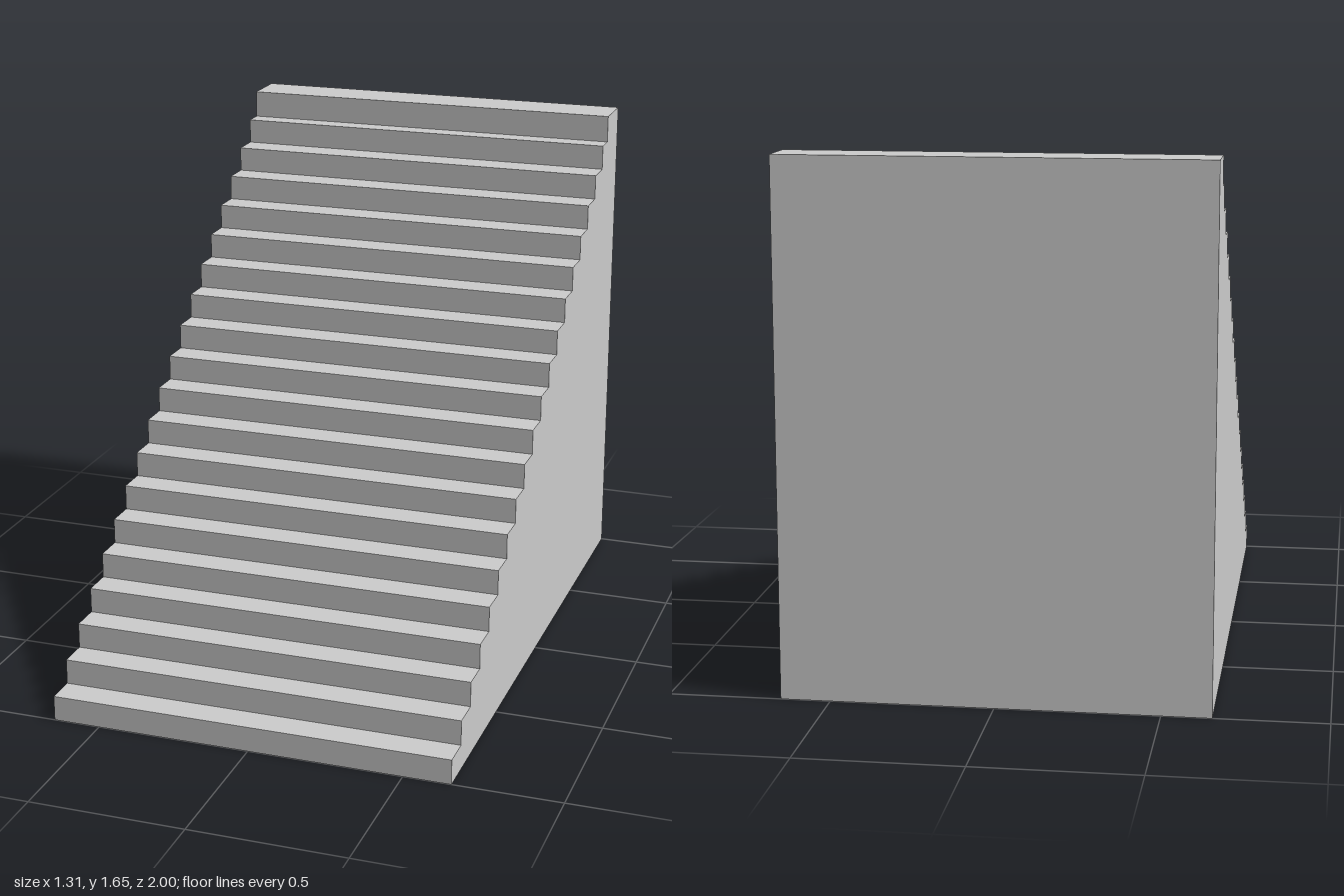
import * as THREE from 'three';

const WIDTH = 1.306;
const STEPS = 19;        // regular steps below the landing
const RISE = 0.082;
const TREAD = 0.0986;
const LANDING_Z = -0.842;
const HEIGHT = 1.648;

export function createModel() {
  const group = new THREE.Group();
  group.name = 'staircase';

  // Side profile: shape x is the model's z
  const profile = new THREE.Shape();
  profile.moveTo(-1, 0);
  profile.lineTo(1, 0);
  for (let i = 0; i < STEPS; i++) {
    const y = (i + 1) * RISE;
    profile.lineTo(1 - i * TREAD, y);
    // The last tread is cut short by the landing
    profile.lineTo(i < STEPS - 1 ? 1 - (i + 1) * TREAD : LANDING_Z, y);
  }
  // Landing and back wall
  profile.lineTo(LANDING_Z, HEIGHT);
  profile.lineTo(-1, HEIGHT);
  profile.closePath();

  // Solid flight, extruded across the width
  const geometry = new THREE.ExtrudeGeometry(profile, { depth: WIDTH, bevelEnabled: false });
  geometry.translate(0, 0, -WIDTH / 2);
  geometry.rotateY(-Math.PI / 2);

  const material = new THREE.MeshStandardMaterial({ color: 0xcccccc, flatShading: true });
  const flight = new THREE.Mesh(geometry, material);
  flight.name = 'solidStairFlight';
  group.add(flight);
  return group;
}
